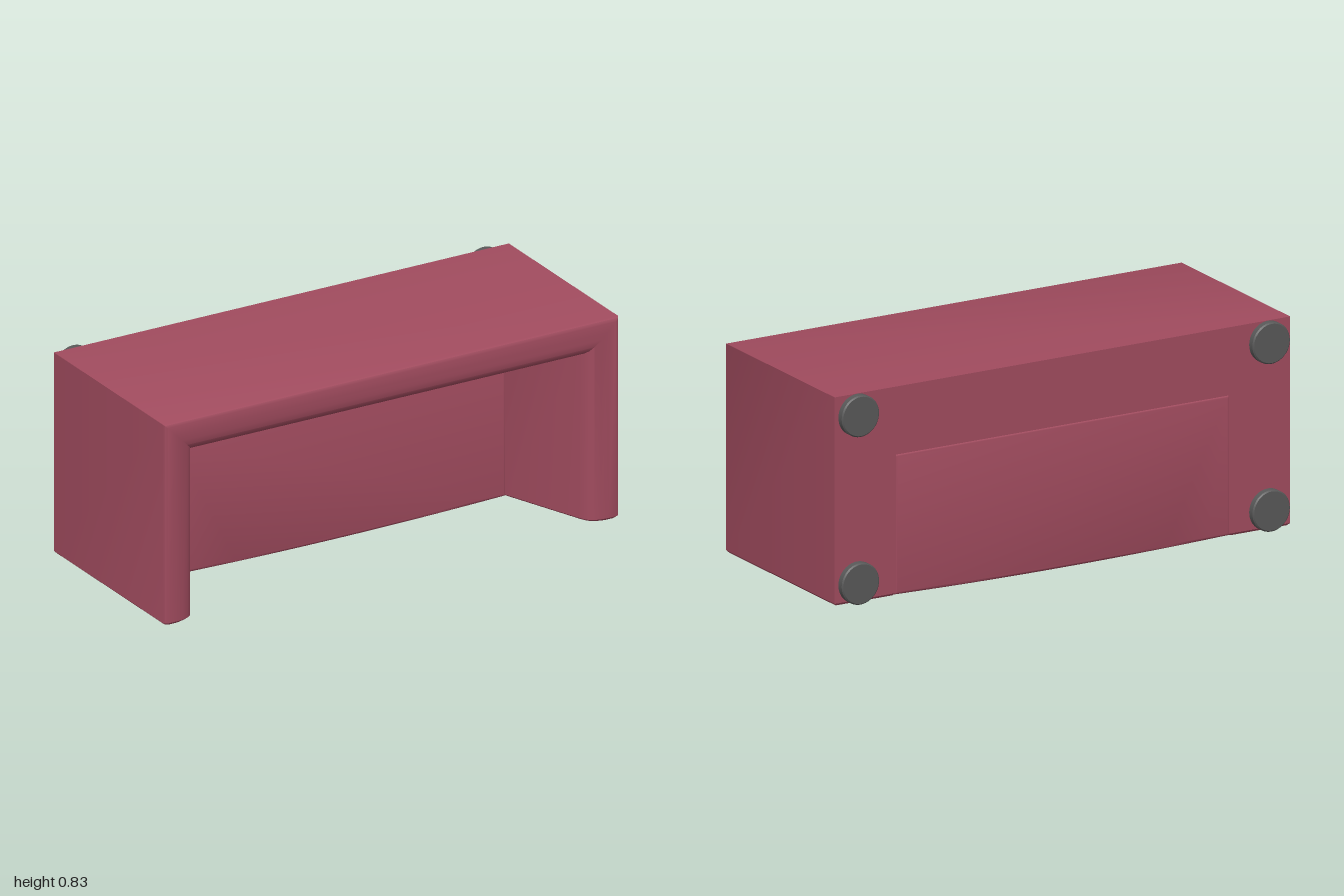
import * as THREE from 'three';
import { toCreasedNormals } from 'three/addons/utils/BufferGeometryUtils.js';

// Cross-section of the surround: [inset from the outside, z], back to front to seat
const PROFILE = [
  [0, -0.39], [0, 0.405], [0.004, 0.414], [0.014, 0.419], [0.05, 0.419], [0.08, 0.416],
  [0.105, 0.409], [0.122, 0.398], [0.134, 0.382], [0.145, 0.358], [0.268, 0.03], [0.268, -0.39],
];

// Sweep the cross-section up one arm, across the backrest and down the other arm
function surroundGeometry() {
  const W = 0.998, TOP = 0.833, BOTTOM = 0.01, R = 0.01;
  const inset = ([t, z]) => [t + (t < 0.08 ? R : -R), z - Math.sign(z) * R];
  const stations = [
    p => { const [t, z] = inset(p); return [W - t, BOTTOM, z]; },
    ([t, z]) => [W - t, BOTTOM + R, z],
    ([t, z]) => [W - t, TOP - t, z],
    ([t, z]) => [t - W, TOP - t, z],
    ([t, z]) => [t - W, BOTTOM + R, z],
    p => { const [t, z] = inset(p); return [t - W, BOTTOM, z]; },
  ];
  const n = PROFILE.length, pos = [], idx = [];
  stations.forEach(at => PROFILE.forEach(p => pos.push(...at(p))));
  for (let i = 0; i < stations.length - 1; i++) {
    for (let j = 0; j < n; j++) {
      const a = i * n + j, b = i * n + (j + 1) % n;
      idx.push(a, a + n, b, a + n, b + n, b);
    }
  }
  // Flat ends of the arms
  const last = (stations.length - 1) * n;
  for (let j = 1; j < n - 1; j++) {
    idx.push(0, j, j + 1, last, last + j + 1, last + j);
  }
  const g = new THREE.BufferGeometry();
  g.setAttribute('position', new THREE.Float32BufferAttribute(pos, 3));
  g.setIndex(idx);
  return toCreasedNormals(g, 0.6);
}

// Seat block with a softly bowed lower edge and rounded rim
function seatGeometry() {
  const b = 0.012, w = 0.735 - b, top = 0.565 - b, low = 0.012 + b;
  const s = new THREE.Shape();
  s.moveTo(-w, top);
  s.lineTo(-w, low);
  s.quadraticCurveTo(0, low - 0.022, w, low);
  s.lineTo(w, top);
  s.closePath();
  const g = new THREE.ExtrudeGeometry(s, {
    depth: 0.42 - 2 * b, bevelEnabled: true, bevelThickness: b, bevelSize: b,
    bevelSegments: 4, curveSegments: 16,
  });
  g.translate(0, 0, -0.39 + b);
  return toCreasedNormals(g, 0.6);
}

export function createModel() {
  const fabric = new THREE.MeshStandardMaterial({ color: 0xa04b5e });
  fabric.name = 'rose fabric';
  const rubber = new THREE.MeshStandardMaterial({ color: 0x585858 });
  rubber.name = 'dark grey feet';

  const sofa = new THREE.Group();
  sofa.name = 'sofa';
  const add = (name, geometry, material) => {
    const mesh = new THREE.Mesh(geometry, material);
    mesh.name = name;
    sofa.add(mesh);
    return mesh;
  };

  add('armsAndBackrest', surroundGeometry(), fabric);
  add('seat', seatGeometry(), fabric);

  // Four round feet on the -z side, with a small chamfer
  const footProfile = [[0.082, 0], [0.082, 0.026], [0.077, 0.031], [0, 0.031]]
    .map(([r, h]) => new THREE.Vector2(r, h));
  const footGeometry = toCreasedNormals(new THREE.LatheGeometry(footProfile, 40), 0.5);
  footGeometry.rotateX(-Math.PI / 2);
  for (const x of [-0.9, 0.9]) {
    for (const y of [0.09, 0.75]) {
      add('foot', footGeometry, rubber).position.set(x, y, -0.388);
    }
  }
  return sofa;
}
